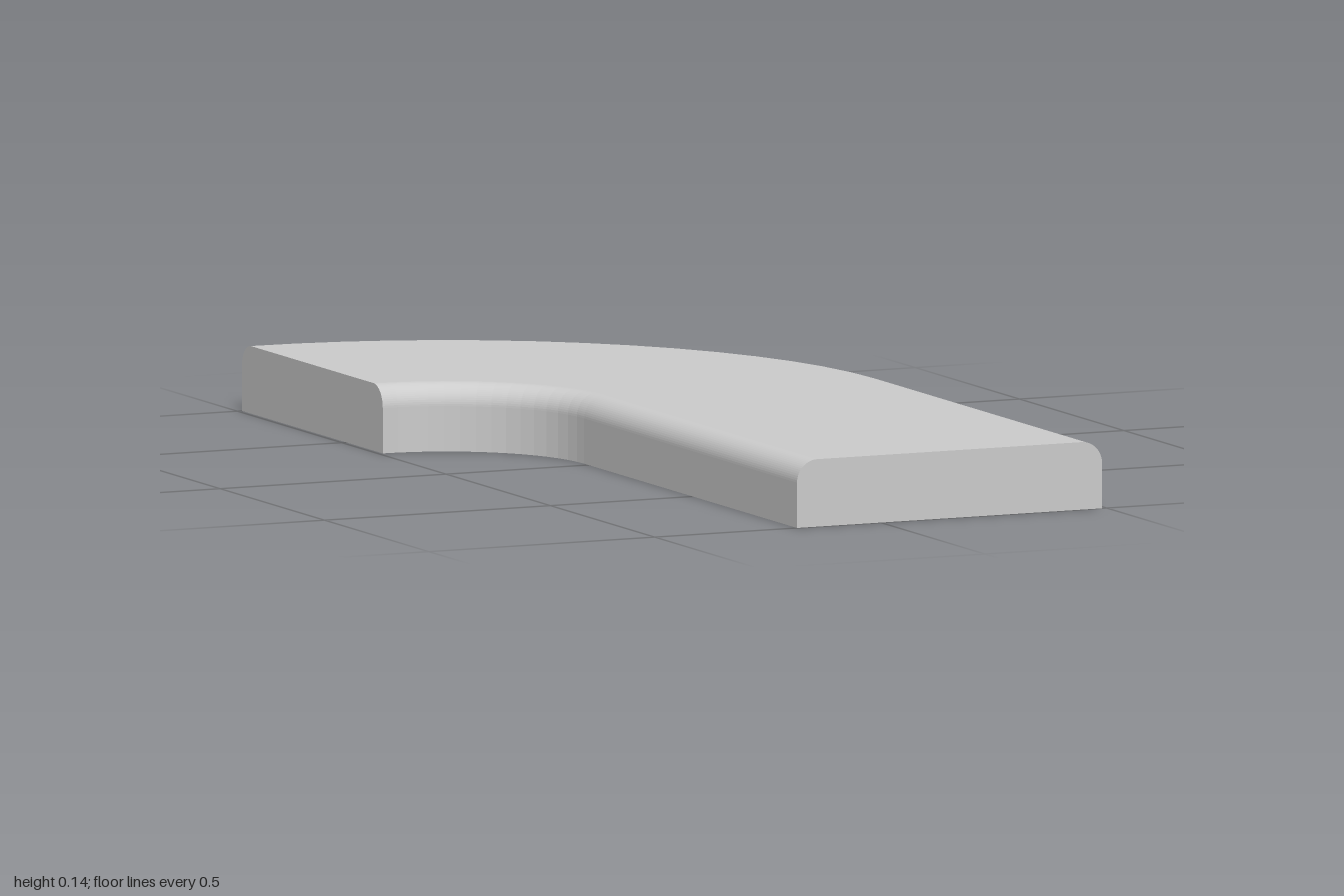
import * as THREE from 'three';

const INNER = 0.305, OUTER = 0.98, HEIGHT = 0.137, FILLET = 0.045;
const CENTRE_X = -0.49, CENTRE_Z = -0.02, FRONT_Z = 1, ARC_STEPS = 15;

// Flat-bottomed cross-section with rounded top edges; x is the distance from the bend centre
function crossSection() {
  const s = new THREE.Shape();
  s.moveTo(INNER, 0);
  s.lineTo(OUTER, 0);
  s.lineTo(OUTER, HEIGHT - FILLET);
  s.absarc(OUTER - FILLET, HEIGHT - FILLET, FILLET, 0, Math.PI / 2, false);
  s.lineTo(INNER + FILLET, HEIGHT);
  s.absarc(INNER + FILLET, HEIGHT - FILLET, FILLET, Math.PI / 2, Math.PI, false);
  s.lineTo(INNER, 0);
  return s;
}

export function createModel() {
  const group = new THREE.Group();
  group.name = 'curvedSlab';

  // One extrusion step per station: the quarter bend first, then the straight run
  const steps = ARC_STEPS + 1;
  const geometry = new THREE.ExtrudeGeometry(crossSection(), {
    depth: steps, steps, curveSegments: 8, bevelEnabled: false,
  });

  // Place every station along the bend and straight run
  const p = geometry.attributes.position;
  for (let i = 0; i < p.count; i++) {
    const r = p.getX(i), station = Math.round(p.getZ(i));
    if (station === steps) {
      p.setXYZ(i, CENTRE_X + r, p.getY(i), FRONT_Z);
    } else {
      const a = (1 - station / ARC_STEPS) * Math.PI / 2;
      p.setXYZ(i, CENTRE_X + r * Math.cos(a), p.getY(i), CENTRE_Z - r * Math.sin(a));
    }
  }
  geometry.computeVertexNormals();

  const slab = new THREE.Mesh(geometry, new THREE.MeshStandardMaterial({ color: 0xcccccc, flatShading: true }));
  slab.name = 'slab';
  group.add(slab);
  return group;
}
